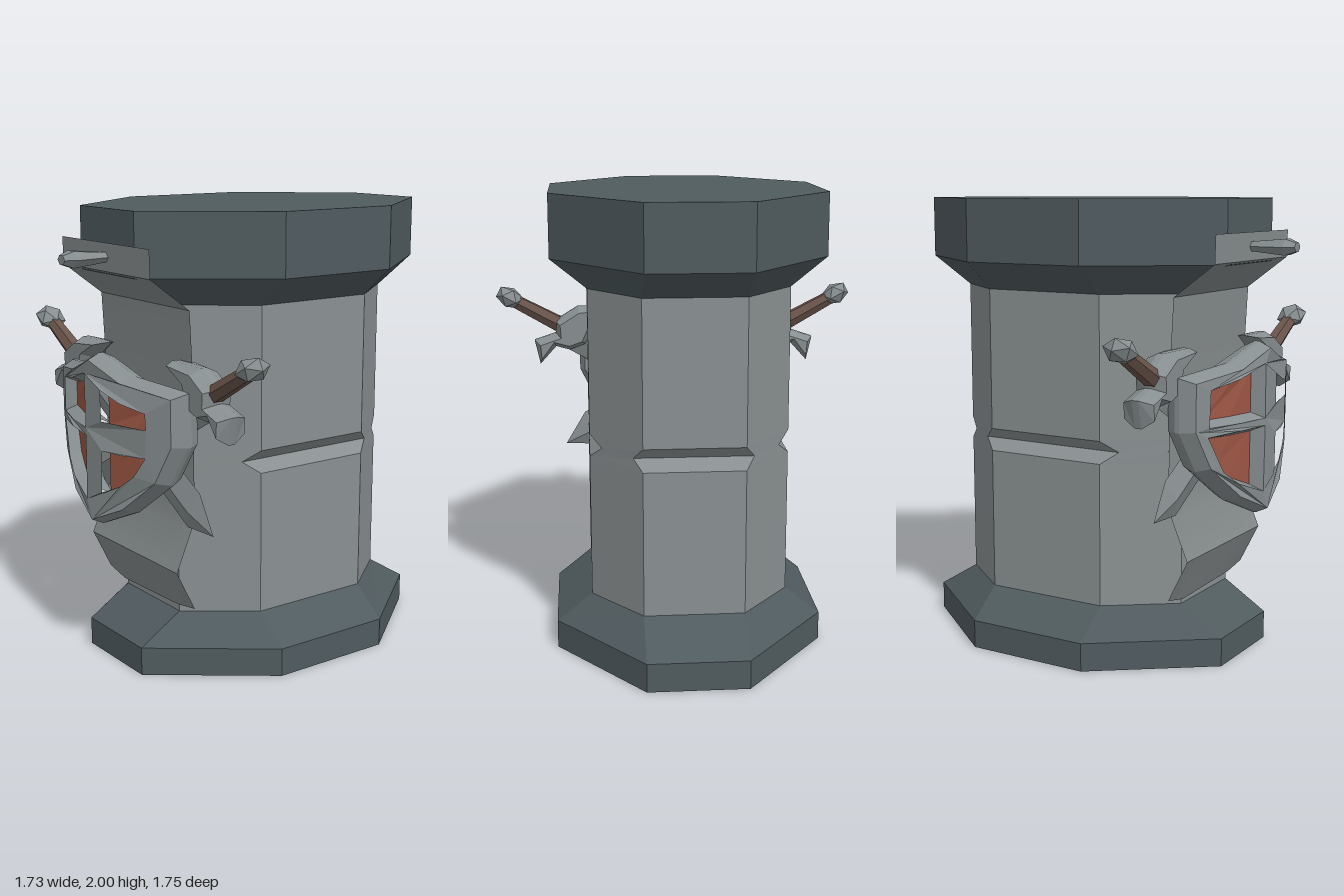
import * as THREE from 'three';
import { toCreasedNormals } from 'three/addons/utils/BufferGeometryUtils.js';

const D = THREE.DoubleSide;
function material(name, color, side = THREE.FrontSide) {
  const m = new THREE.MeshStandardMaterial({ color, side });
  m.name = name;
  return m;
}

// faceted normals for low-poly parts
function flat(geo) {
  const g = geo.index ? geo.toNonIndexed() : geo;
  g.computeVertexNormals();
  return g;
}

// octagon ring: half width of front, half width of side, then z of front, side front, side back, back
function ring(y, [a, x, zf, zs, zt, zb]) {
  return [[a, zf], [x, zs], [x, zt], [a, zb], [-a, zb], [-x, zt], [-x, zs], [-a, zf]]
    .map(([px, pz]) => [px, y, pz]);
}

function loft(rings, capTop = false) {
  const out = [];
  for (let r = 0; r + 1 < rings.length; r++) {
    const lo = rings[r], hi = rings[r + 1];
    for (let i = 0; i < lo.length; i++) {
      const j = (i + 1) % lo.length;
      out.push(...lo[i], ...lo[j], ...hi[j], ...lo[i], ...hi[j], ...hi[i]);
    }
  }
  if (capTop) {
    const t = rings[rings.length - 1];
    for (let i = 1; i + 1 < t.length; i++) out.push(...t[0], ...t[i], ...t[i + 1]);
  }
  const g = new THREE.BufferGeometry();
  g.setAttribute('position', new THREE.Float32BufferAttribute(out, 3));
  g.computeVertexNormals();
  return g;
}

const toPoints = (pts, sx = 1) => pts.map(([x, y]) => new THREE.Vector2(x * sx, y));

// shield surface curves back toward its sides
function bend(geo) {
  const p = geo.attributes.position;
  for (let i = 0; i < p.count; i++) {
    p.setZ(i, p.getZ(i) - 0.13 * Math.pow(Math.abs(p.getX(i)) / 0.46, 1.6));
  }
  return flat(geo);
}

export function createModel() {
  const model = new THREE.Group();
  const stone = material('stone', 0x8a9092, D);
  const slate = material('slate', 0x505b5f, D);
  const steel = material('steel', 0x878e90);
  const cloth = material('cloth', 0x868c8c, D);
  const red = material('red', 0x9c5644, D);
  const wood = material('wood', 0x69544a);
  const add = (parent, name, geo, mat) => {
    const m = new THREE.Mesh(geo, mat);
    m.name = name;
    parent.add(m);
    return m;
  };

  // pillar: shaft with a V groove on the four main faces, open base, closed capital
  const outer = [0.215, 0.585, 0.66, 0.175, -0.395, -0.875];
  const inner = [0.215, 0.43, 0.46, 0.175, -0.395, -0.67];
  const groove = [0.253, 0.38, 0.41, 0.241, -0.459, -0.62];
  add(model, 'shaft', loft([ring(0.25, inner), ring(0.88, inner), ring(0.93, groove),
    ring(0.98, inner), ring(1.605, inner)]), stone);
  add(model, 'base', loft([ring(0, outer), ring(0.125, outer), ring(0.25, inner)]), slate);
  add(model, 'capital', loft([ring(1.605, inner), ring(1.73, outer), ring(2, outer)], true), slate);

  // hanging banner: a sheet following a side profile of [z, y]
  const path = [[0.675, 1.86], [0.672, 1.74], [0.485, 1.6], [0.47, 1.3], [0.468, 0.8],
    [0.485, 0.66], [0.56, 0.485], [0.47, 0.285]];
  const columns = [-0.35, -0.22, 0.22, 0.35], hem = [0.015, -0.012, 0, 0.02];
  const sheet = new THREE.PlaneGeometry(1, 1, 3, path.length - 1);
  path.forEach(([z, y], r) => columns.forEach((x, c) => {
    const last = r === path.length - 1;
    sheet.attributes.position.setXYZ(r * 4 + c, x, y + (last ? hem[c] : 0), z);
  }));
  add(model, 'banner', toCreasedNormals(sheet, 0.6), cloth);

  // peg holding the banner
  const peg = new THREE.LatheGeometry(toPoints([[0, 0], [0.024, 0], [0.055, 0.22], [0.03, 0.265], [0, 0.265]]), 6);
  peg.rotateY(Math.PI / 6).rotateX(Math.PI / 2).scale(1, 0.72, 1).translate(0, 1.8, 0.61);
  add(model, 'peg', flat(peg), steel);

  // shield: bevelled frame with four openings
  const shield = new THREE.Group();
  shield.name = 'shield';
  model.add(shield);
  const half = [[0.2, 1.325], [0.465, 1.285], [0.465, 1.06], [0.385, 0.89], [0.21, 0.74]];
  const outline = [[0, 1.4], ...half, [0, 0.648], ...half.map(([x, y]) => [-x, y]).reverse()];
  const openings = [
    [[0.06, 1.285], [0.2, 1.24], [0.345, 1.212], [0.35, 1.1], [0.2, 1.1], [0.06, 1.1]],
    [[0.06, 1.02], [0.2, 1.02], [0.35, 1.02], [0.28, 0.9], [0.2, 0.84], [0.06, 0.785]]
  ];
  const frame = new THREE.Shape(toPoints(outline));
  for (const s of [1, -1]) {
    for (const o of openings) {
      frame.holes.push(new THREE.Path(toPoints(o, s)));
      const panel = new THREE.ShapeGeometry(new THREE.Shape(toPoints(o, s)));
      add(shield, 'panel', bend(panel.translate(0, 0, 0.708)), red);
    }
  }
  const frameGeo = new THREE.ExtrudeGeometry(frame, {
    depth: 0.02, bevelThickness: 0.055, bevelSize: 0.024, bevelOffset: -0.024, bevelSegments: 1
  });
  add(shield, 'shieldFrame', bend(frameGeo.translate(0, 0, 0.69)), steel);

  // crossed swords behind the shield
  const tilt = Math.atan2(0.74, 1.36);
  const place = (geo, x, y) => geo.rotateZ(tilt - Math.PI / 2).translate(x, y, 0.505);
  const guardPts = [[0.658, 1.103], [0.684, 1.22], [0.58, 1.255], [0.585, 1.315], [0.472, 1.385],
    [0.265, 1.385], [0.39, 1.3], [0.435, 1.2], [0.515, 1.172], [0.58, 1.19]];
  for (const s of [1, -1]) {
    const sword = new THREE.Group();
    sword.name = s > 0 ? 'leftSword' : 'rightSword';
    sword.scale.x = s;
    model.add(sword);

    const pommel = new THREE.IcosahedronGeometry(0.076, 0);
    pommel.scale(0.68, 0.95, 0.95);
    add(sword, 'pommel', flat(place(pommel, 0.8, 1.43)), steel);

    const grip = new THREE.CylinderGeometry(0.034, 0.042, 0.27, 6);
    add(sword, 'grip', flat(place(grip, 0.665, 1.352)), wood);

    const guard = new THREE.ExtrudeGeometry(new THREE.Shape(toPoints(guardPts)), {
      depth: 0.03, bevelThickness: 0.055, bevelSize: 0.025, bevelOffset: -0.025, bevelSegments: 1
    });
    add(sword, 'guard', flat(guard.translate(0, 0, 0.485)), steel);

    // diamond section blade with a pointed end, tip at the local origin
    const blade = new THREE.LatheGeometry(toPoints([[0, 0], [0.095, 0.16], [0.085, 1.2], [0, 1.2]]), 4);
    blade.scale(1, 1, 0.36);
    add(sword, 'blade', flat(place(blade, -0.54, 0.69)), steel);
  }
  return model;
}
